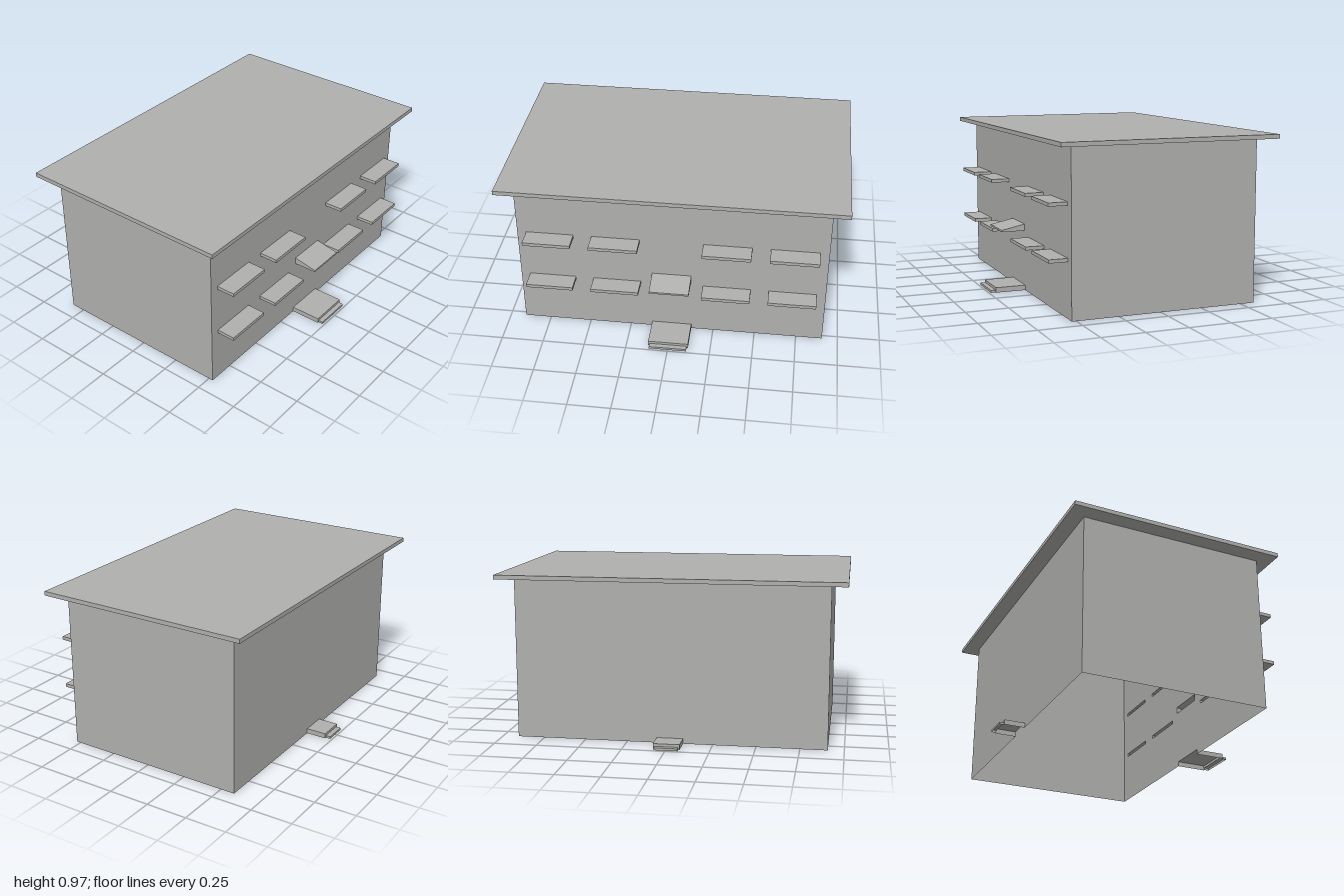
import * as THREE from 'three';
import { mergeGeometries } from 'three/addons/utils/BufferGeometryUtils.js';

const concrete = new THREE.MeshStandardMaterial({ color: 0xb0b0ae, side: THREE.DoubleSide });
concrete.name = 'concrete grey';

const HALF_W = 0.907, FRONT = 0.526, BACK = -0.585;
const WALL_TOP = 0.945, ROOF_TOP = 0.97;

function add(parent, name, geometry) {
  const mesh = new THREE.Mesh(geometry, concrete);
  mesh.name = name;
  parent.add(mesh);
  return mesh;
}

function rectanglePath(Type, x0, x1, y0, y1) {
  return new Type([[x0, y0], [x1, y0], [x1, y1], [x0, y1]].map(p => new THREE.Vector2(...p)));
}

// Upright panel with an optional notch in its lower edge and rectangular holes.
function panel(x0, x1, top, notch, holes = []) {
  const pts = [[x0, 0]];
  if (notch) {
    const [a, b, h] = notch;
    pts.push([a, 0], [a, h], [b, h], [b, 0]);
  }
  pts.push([x1, 0], [x1, top], [x0, top]);
  const shape = new THREE.Shape(pts.map(p => new THREE.Vector2(...p)));
  shape.holes = holes.map(h => rectanglePath(THREE.Path, ...h));
  return new THREE.ShapeGeometry(shape);
}

// Hollow projection from a wall: the profile runs outward from the wall top in
// (depth, height); the first `faceCount` edges are skinned and both ends capped.
function projection(x0, x1, profile, faceCount) {
  const pos = [];
  const tri = (...corners) => corners.forEach(c => pos.push(...c));
  const at = (x, [d, y]) => [x, y, d];
  for (let i = 0; i < faceCount; i++) {
    const p = profile[i], q = profile[i + 1];
    tri(at(x0, p), at(x0, q), at(x1, q));
    tri(at(x0, p), at(x1, q), at(x1, p));
  }
  for (let i = 1; i < profile.length - 1; i++) {
    const [a, b, c] = [profile[0], profile[i], profile[i + 1]];
    tri(at(x1, a), at(x1, b), at(x1, c));
    tri(at(x0, a), at(x0, c), at(x0, b));
  }
  const geometry = new THREE.BufferGeometry();
  geometry.setAttribute('position', new THREE.Float32BufferAttribute(pos, 3));
  geometry.computeVertexNormals();
  return geometry;
}

// Two entrance steps, open underneath.
function makeSteps(name, upper, lower, upperDepth, lowerDepth) {
  const group = new THREE.Group();
  group.name = name;
  const H = 0.03, h = 0.014;
  add(group, 'upperStep', projection(...upper, [[0, H], [upperDepth, H], [upperDepth, 0], [0, 0]], 1));
  add(group, 'upperStepRiser', panel(...upper, H, [...lower, h])).position.z = upperDepth;
  add(group, 'lowerStep', projection(...lower,
    [[upperDepth, h], [lowerDepth, h], [lowerDepth, 0], [upperDepth, 0]], 2));
  return group;
}

// Flat roof slab, open to the hollow interior below.
function roofGeometry() {
  const z0 = -0.677, z1 = 0.615;
  const slab = rectanglePath(THREE.Shape, -1, 1, -z1, -z0);
  const soffit = rectanglePath(THREE.Shape, -1, 1, z0, z1);
  soffit.holes.push(rectanglePath(THREE.Path, -HALF_W, HALF_W, BACK, FRONT));
  const parts = [
    new THREE.ShapeGeometry(slab).rotateX(-Math.PI / 2).translate(0, ROOF_TOP, 0),
    new THREE.ShapeGeometry(soffit).rotateX(Math.PI / 2).translate(0, WALL_TOP, 0),
  ];
  const t = ROOF_TOP - WALL_TOP, mid = (ROOF_TOP + WALL_TOP) / 2, depth = z1 - z0, cz = (z0 + z1) / 2;
  for (const turn of [0, 1, 2, 3]) {
    const side = turn % 2 === 1;
    parts.push(new THREE.PlaneGeometry(side ? depth : 2, t)
      .translate(0, 0, side ? 1 : depth / 2)
      .rotateY(turn * Math.PI / 2)
      .translate(0, mid, cz));
  }
  return mergeGeometries(parts);
}

export function createModel() {
  const model = new THREE.Group();
  model.name = 'building';

  const ledgeColumns = [[-0.853, -0.575], [-0.468, -0.185], [0.185, 0.467], [0.573, 0.853]];
  const ledgeRows = [[0.314, 0.334], [0.619, 0.639]];
  const ledges = ledgeRows.flatMap(row => ledgeColumns.map(col => [...col, ...row]));
  const awning = [-0.116, 0.116, 0.362, 0.402];
  const frontStep = [-0.12, 0.118], backStep = [-0.078, 0.076];

  // Walls, opened where the hollow projections meet them
  add(model, 'frontWall', panel(-HALF_W, HALF_W, WALL_TOP, [...frontStep, 0.03], [...ledges, awning]))
    .position.z = FRONT;
  const backWall = add(model, 'backWall',
    panel(-HALF_W, HALF_W, WALL_TOP, [-backStep[1], -backStep[0], 0.03]));
  backWall.rotation.y = Math.PI;
  backWall.position.z = BACK;
  for (const s of [-1, 1]) {
    const wall = add(model, s > 0 ? 'leftWall' : 'rightWall', new THREE.PlaneGeometry(FRONT - BACK, WALL_TOP));
    wall.rotation.y = s * Math.PI / 2;
    wall.position.set(s * HALF_W, WALL_TOP / 2, (FRONT + BACK) / 2);
  }

  add(model, 'roof', roofGeometry());

  // Window ledges in two rows
  for (const [x0, x1, y0, y1] of ledges) {
    add(model, 'windowLedge', projection(x0, x1, [[0, y1], [0.11, y1], [0.11, y0], [0, y0]], 3))
      .position.z = FRONT;
  }

  // Sloping awning above the front entrance
  add(model, 'awning', projection(awning[0], awning[1],
    [[0, 0.402], [0.141, 0.373], [0.141, 0.362], [0, 0.362]], 3)).position.z = FRONT;

  // Entrance steps at the front and back
  const front = makeSteps('frontSteps', frontStep, [-0.112, 0.11], 0.183, 0.212);
  front.position.z = FRONT;
  const back = makeSteps('backSteps', [-backStep[1], -backStep[0]], [-0.066, 0.07], 0.123, 0.152);
  back.rotation.y = Math.PI;
  back.position.z = BACK;
  model.add(front, back);

  return model;
}
